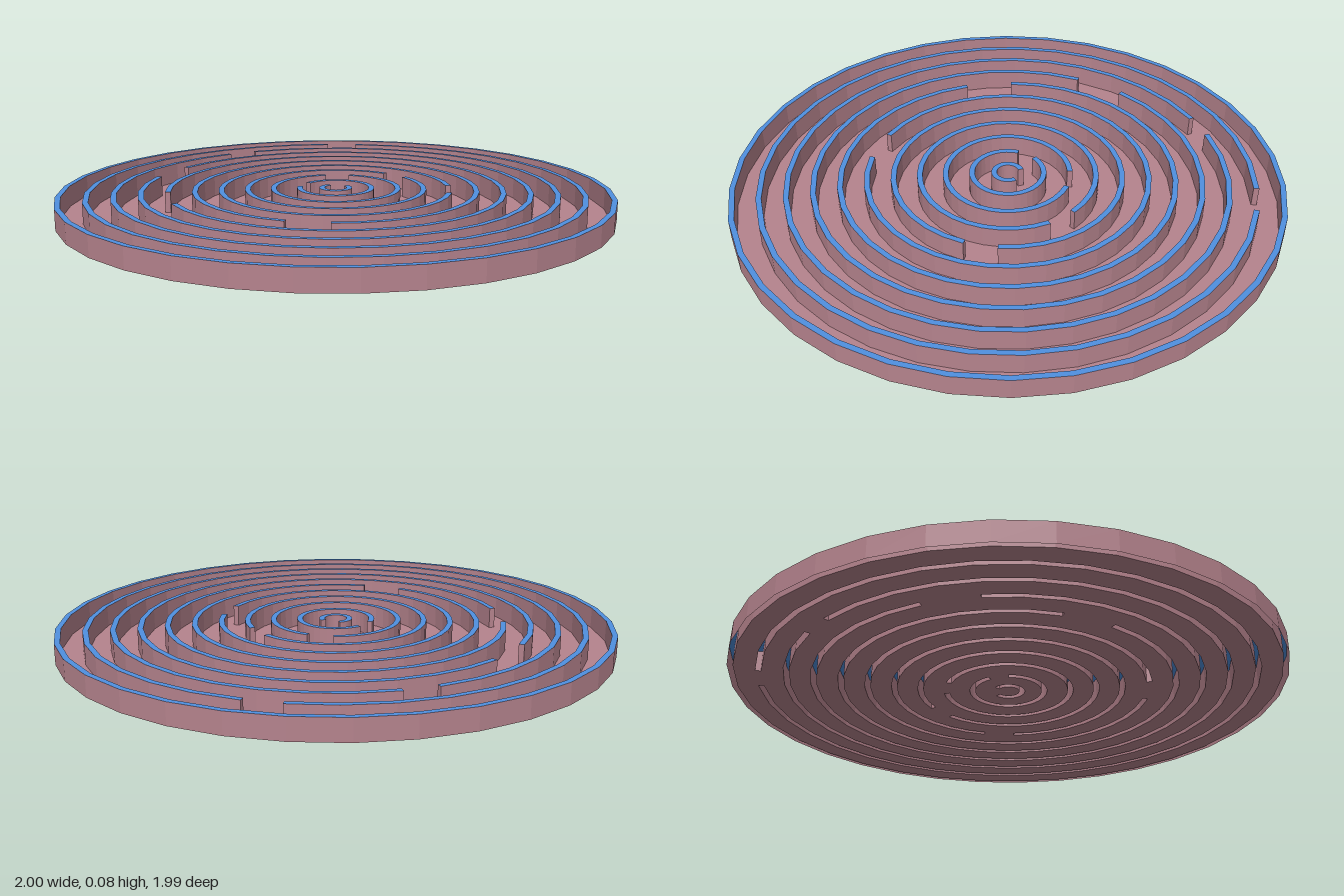
import * as THREE from 'three';

const HEIGHT = 0.075, THICK = 0.02, SEGMENTS = 34;

const sideMat = new THREE.MeshStandardMaterial({ color: 0xb5838d, flatShading: true, side: THREE.DoubleSide });
const topMat = new THREE.MeshStandardMaterial({ color: 0x5090e0, side: THREE.DoubleSide });

// Ring walls: [outer radius, start and end of the gap in degrees, from +x towards +z]
const WALLS = [
  [0.904, 255.8, 263.8],
  [0.809, 223.6, 232],
  [0.714, 183.9, 199.8],
  [0.618, 143.5, 160.6],
  [0.522, 79.8, 96.6],
  [0.426, 343.9, 360],
  [0.331, 294.9, 313],
  [0.237, 248.2, 271.3],
  [0.141, 177, 207.6],
  [0.06, 232, 308],
];

// Points [x, z] along an arc
function arc(radius, from, to) {
  const n = Math.max(1, Math.ceil(Math.abs(to - from) / 360 * SEGMENTS - 1e-6));
  return Array.from({ length: n + 1 }, (_, i) => {
    const a = THREE.MathUtils.degToRad(from + (to - from) * i / n);
    return [radius * Math.cos(a), radius * Math.sin(a)];
  });
}

const circle = (radius) => arc(radius, 0, 360).slice(0, -1);

// Flat horizontal sheet with holes, facing up
function sheet(outline, holes, y) {
  const toVectors = (points) => points.map(([x, z]) => new THREE.Vector2(x, -z));
  const shape = new THREE.Shape(toVectors(outline));
  shape.holes = holes.map((hole) => new THREE.Path(toVectors(hole)));
  return new THREE.ShapeGeometry(shape).rotateX(-Math.PI / 2).translate(0, y, 0);
}

// Upright band along a closed outline
function band(outline) {
  const positions = [];
  outline.forEach(([x, z], i) => {
    const [u, w] = outline[(i + 1) % outline.length];
    positions.push(x, 0, z, x, HEIGHT, z, u, 0, w);
    positions.push(u, 0, w, x, HEIGHT, z, u, HEIGHT, w);
  });
  const geometry = new THREE.BufferGeometry();
  geometry.setAttribute('position', new THREE.Float32BufferAttribute(positions, 3));
  geometry.computeVertexNormals();
  return geometry;
}

export function createModel() {
  const model = new THREE.Group();
  model.name = 'circularMaze';
  const add = (parent, name, geometry, material) => {
    const mesh = new THREE.Mesh(geometry, material);
    mesh.name = name;
    parent.add(mesh);
  };

  // Outer rim, hollow and open below
  const rim = new THREE.Group();
  rim.name = 'outerRim';
  const rimOuter = circle(1), rimInner = circle(1 - THICK);
  add(rim, 'rimOuterSide', band(rimOuter), sideMat);
  add(rim, 'rimInnerSide', band(rimInner.slice().reverse()), sideMat);
  add(rim, 'rimTop', sheet(rimOuter, [rimInner], HEIGHT), topMat);
  model.add(rim);

  // Ring walls, each with one gap, hollow and open below
  const outlines = WALLS.map(([radius, gapStart, gapEnd]) => [
    ...arc(radius, gapEnd, gapStart + 360),
    ...arc(radius - THICK, gapStart + 360, gapEnd),
  ]);
  outlines.forEach((outline, i) => {
    const wall = new THREE.Group();
    wall.name = `ringWall${i + 1}`;
    add(wall, 'wallSides', band(outline), sideMat);
    add(wall, 'wallTop', sheet(outline, [], HEIGHT), topMat);
    model.add(wall);
  });

  // Thin floor with slots under the walls
  add(model, 'floor', sheet(rimInner, outlines, 0), sideMat);
  return model;
}
